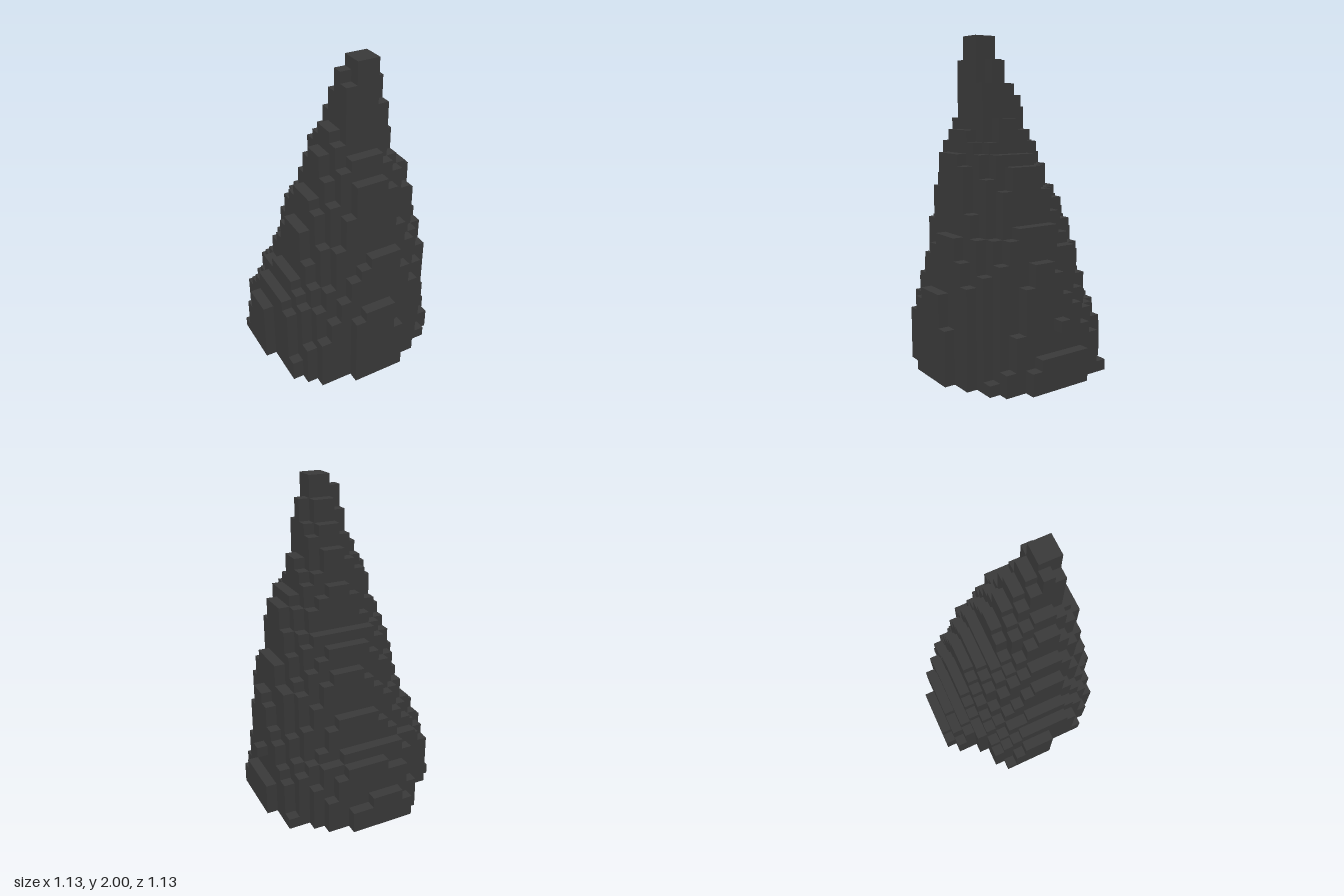
import * as THREE from 'three';

const CELL = 2 / 30; // 30 layers of cubes, 17 x 17 at the base
const LAYERS = 30;

// Outline steps, in cells: [first layer, distance of the edge from the axis]
const LEFT = [[0, 8.5], [6, 7.5], [8, 6.5], [10, 5.5], [15, 4.5], [18, 3.5], [22, 2.5], [24, 1.5], [29, 0.5]];
const RIGHT = [[0, 8.5], [3, 7.5], [11, 6.5], [14, 5.5], [19, 4.5], [20, 3.5], [23, 2.5], [28, 1.5]];
const BACK = [[0, 8.5], [3, 7.5], [6, 6.5], [7, 5.5], [10, 4.5], [14, 3.5], [16, 2.5], [17, 1.5],
  [21, 0.5], [24, -0.5], [26, -1.5], [28, -2.5]];
const FRONT = [[0, 8.5], [8, 7.5], [13, 6.5], [20, 5.5], [22, 4.5]];

// Base outline, row by row from back to front: [lowest x, highest x]
const FOOTPRINT = [[-3, 2], [-4, 5], [-4, 5], [-5, 7], [-7, 7], [-8, 7], [-8, 8], [-8, 8], [-8, 8],
  [-8, 8], [-7, 8], [-7, 8], [-7, 7], [-7, 7], [-6, 6], [-5, 4], [-2, 2]];

// Stepped edge of a layer, and the smooth slope running through the steps
function profile(steps, y) {
  let i = 0;
  while (i + 1 < steps.length && steps[i + 1][0] <= y) i++;
  const [start, edge] = steps[i];
  const last = i === steps.length - 1;
  const end = last ? LAYERS : steps[i + 1][0];
  const from = i === 0 ? edge + 0.1 : edge + 0.5;
  const to = last ? edge : edge - 0.5;
  return { edge, slope: THREE.MathUtils.lerp(from, to, (y + 0.5 - start) / (end - start)) };
}

const layers = Array.from({ length: LAYERS }, (_, y) => {
  const [l, r, b, f] = [LEFT, RIGHT, BACK, FRONT].map((steps) => profile(steps, y));
  return {
    l, r, b, f,
    cx: (r.slope - l.slope) / 2, rx: (r.slope + l.slope) / 2,
    cz: (f.slope - b.slope) / 2, rz: (f.slope + b.slope) / 2,
  };
});

// Repeatable roughness for each upright column, -1 to 1
function roughness(x, z) {
  const s = Math.sin(x * 12.9898 + z * 78.233) * 43758.5453;
  return (s - Math.floor(s)) * 2 - 1;
}

// True where the rock is solid: a leaning stack of rough ellipses
function solid(x, y, z) {
  if (y < 0 || y >= LAYERS || Math.abs(z) > 8) return false;
  if (x === 8 && y === 5 && z === 0) return true; // lone jutting cube
  const { l, r, b, f, cx, rx, cz, rz } = layers[y];
  const [low, high] = FOOTPRINT[z + 8];
  if (x < Math.max(low, -l.edge) || x > Math.min(high, r.edge)) return false;
  if (z < -b.edge || z > f.edge) return false;
  const distance = Math.hypot((x - cx) / rx, (z - cz) / rz);
  return distance <= 1.02 + 0.025 * roughness(x, z);
}

// Only the exposed cube faces
function rockGeometry() {
  const positions = [], normals = [];
  const addFace = (cell, axis, sign) => {
    const u = (axis + 1) % 3, v = (axis + 2) % 3;
    const corners = [[-1, -1], [1, -1], [1, 1], [-1, 1]].map(([a, b]) => {
      const p = [cell[0], cell[1] + 0.5, cell[2]];
      p[axis] += sign / 2;
      p[u] += a / 2;
      p[v] += b / 2;
      return p.map((c) => c * CELL);
    });
    if (sign < 0) corners.reverse();
    const normal = [0, 0, 0];
    normal[axis] = sign;
    for (const i of [0, 1, 2, 0, 2, 3]) {
      positions.push(...corners[i]);
      normals.push(...normal);
    }
  };

  for (let y = 0; y < LAYERS; y++)
    for (let x = -8; x <= 8; x++)
      for (let z = -8; z <= 8; z++) {
        if (!solid(x, y, z)) continue;
        for (let axis = 0; axis < 3; axis++)
          for (const sign of [-1, 1]) {
            const next = [x, y, z];
            next[axis] += sign;
            if (!solid(...next)) addFace([x, y, z], axis, sign);
          }
      }

  const geometry = new THREE.BufferGeometry();
  geometry.setAttribute('position', new THREE.Float32BufferAttribute(positions, 3));
  geometry.setAttribute('normal', new THREE.Float32BufferAttribute(normals, 3));
  return geometry;
}

export function createModel() {
  const group = new THREE.Group();
  group.name = 'blockyRockSpire';
  const material = new THREE.MeshStandardMaterial({ color: 0x3a3a3a });
  material.name = 'darkStone';
  const rock = new THREE.Mesh(rockGeometry(), material);
  rock.name = 'rockSpire';
  group.add(rock);
  return group;
}
